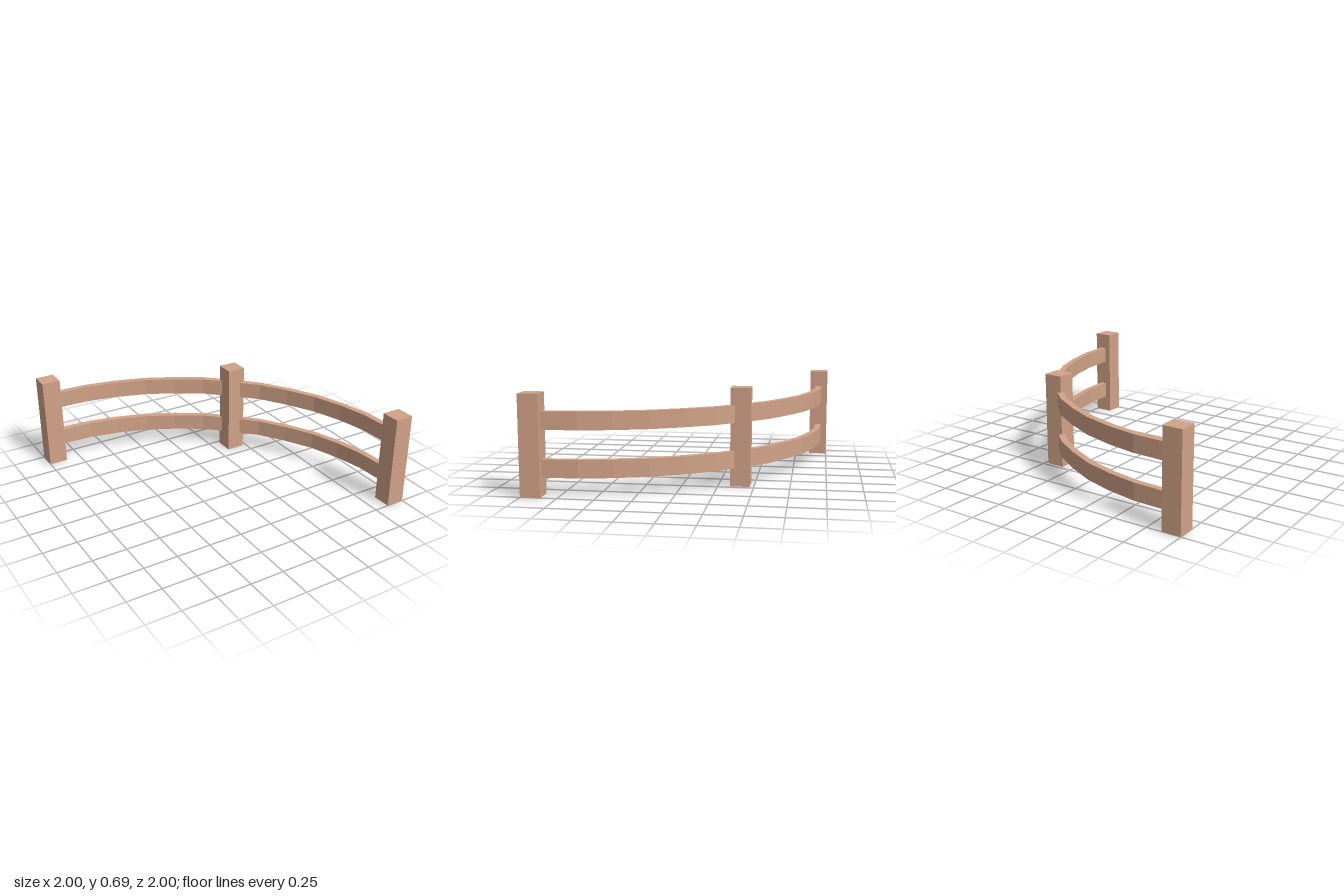
import * as THREE from 'three';

const POST_SIZE = 0.138, POST_HEIGHT = 0.69;
const RAIL_HEIGHT = 0.123, RAIL_HALF = 0.0235;

// Centre line of one rail span as [x, z], from the end post to the middle post
const SPAN = [
  [-0.93, -0.934], [-0.62, -0.919], [-0.403, -0.875], [-0.176, -0.802],
  [0.035, -0.693], [0.233, -0.568], [0.404, -0.404],
].map(([x, z]) => new THREE.Vector2(x, -z));

// Centre line shifted sideways along its averaged normals
function offsetLine(points, distance) {
  return points.map((p, i) => {
    const before = points[Math.max(i - 1, 0)];
    const after = points[Math.min(i + 1, points.length - 1)];
    const along = after.clone().sub(before).normalize();
    return new THREE.Vector2(p.x - along.y * distance, p.y + along.x * distance);
  });
}

// Curved plank of constant thickness, standing on y = 0
function railGeometry(points) {
  const outline = [...offsetLine(points, RAIL_HALF), ...offsetLine(points, -RAIL_HALF).reverse()];
  const geometry = new THREE.ExtrudeGeometry(new THREE.Shape(outline), {
    depth: RAIL_HEIGHT, bevelEnabled: false,
  });
  return geometry.rotateX(-Math.PI / 2);
}

export function createModel() {
  const wood = new THREE.MeshStandardMaterial({ color: 0xd2a388 });
  wood.name = 'lightWood';
  const fence = new THREE.Group();
  fence.name = 'curvedFence';

  // Square posts at both ends and the middle of the curve
  const postGeometry = new THREE.BoxGeometry(POST_SIZE, POST_HEIGHT, POST_SIZE);
  const posts = { backPost: [-0.931, -0.931], middlePost: [0.404, -0.404], frontPost: [0.931, 0.931] };
  for (const [name, [x, z]] of Object.entries(posts)) {
    const post = new THREE.Mesh(postGeometry, wood);
    post.name = name;
    post.position.set(x, POST_HEIGHT / 2, z);
    fence.add(post);
  }

  // Two rails per span; the front span mirrors the back one across the diagonal
  const spans = { back: SPAN, front: SPAN.map((p) => new THREE.Vector2(p.y, p.x)) };
  for (const [side, points] of Object.entries(spans)) {
    const geometry = railGeometry(points);
    for (const [level, y] of [['Lower', 0.127], ['Upper', 0.447]]) {
      const rail = new THREE.Mesh(geometry, wood);
      rail.name = `${side}${level}Rail`;
      rail.position.y = y;
      fence.add(rail);
    }
  }
  return fence;
}
